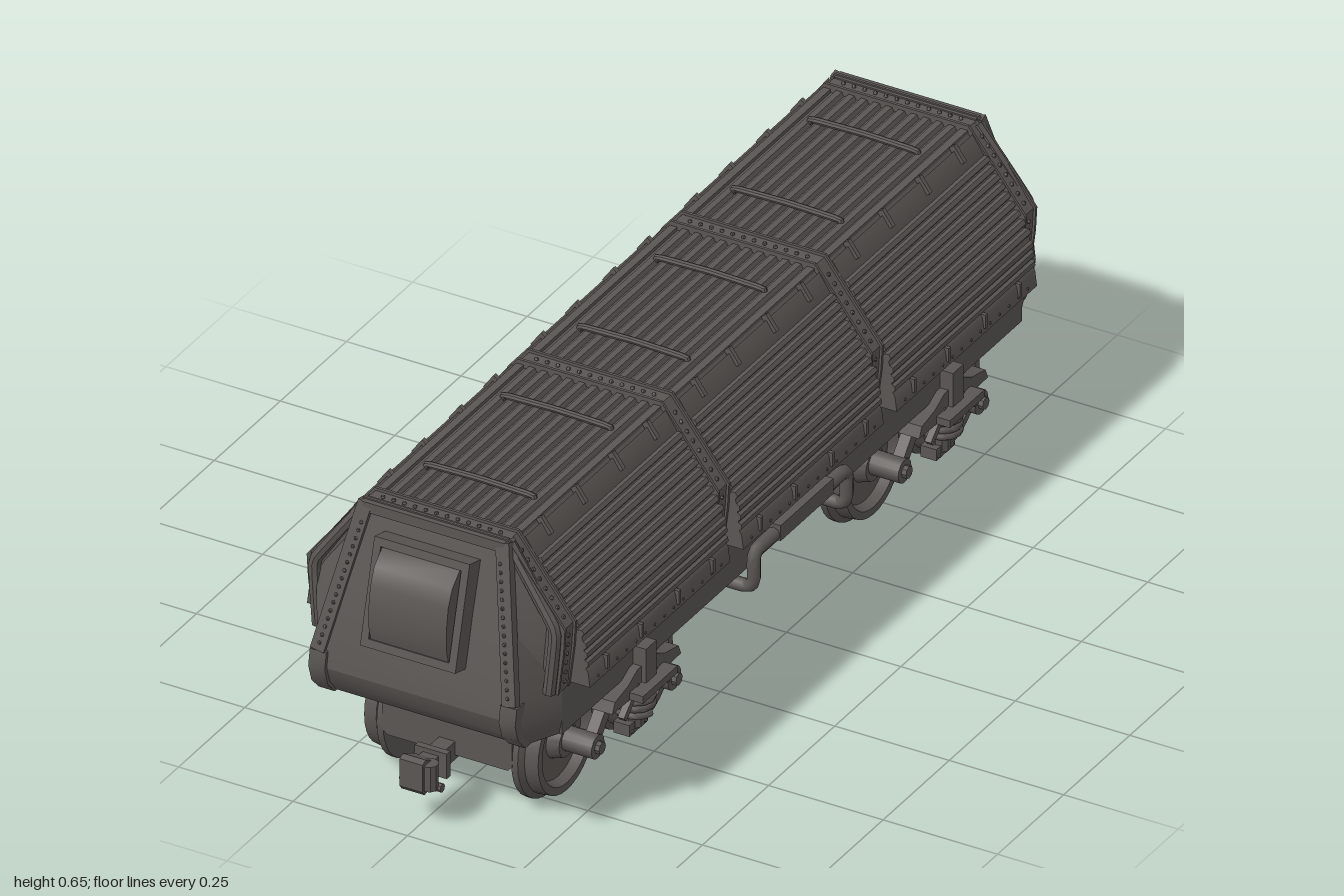
import * as THREE from 'three';
import { mergeGeometries, toCreasedNormals } from 'three/addons/utils/BufferGeometryUtils.js';

const V = (x, y, z) => new THREE.Vector3(x, y, z);
const steel = new THREE.MeshStandardMaterial({ color: 0x5a5653 });
steel.name = 'dark steel';

function add(parent, name, geo, angle = 0.6) {
  const mesh = new THREE.Mesh(toCreasedNormals(geo, angle), steel);
  mesh.name = name;
  parent.add(mesh);
  return mesh;
}
const box = (w, h, d, x, y, z) => new THREE.BoxGeometry(w, h, d).translate(x, y, z);
const rod = (r, len, x, y, z, sides = 14) => // cylinder lying along x
  new THREE.CylinderGeometry(r, r, len, sides).rotateZ(Math.PI / 2).translate(x, y, z);
const tube = (pts, r, n = 32) =>
  new THREE.TubeGeometry(new THREE.CatmullRomCurve3(pts, false, 'catmullrom', 0.1), n, r, 8);

// extrude an [x, y] outline along z, centred on z
function extrude(pts, depth, z = 0, hole) {
  const shape = new THREE.Shape(pts.map(p => new THREE.Vector2(...p)));
  if (hole) shape.holes.push(new THREE.Path(hole.map(p => new THREE.Vector2(...p))));
  return new THREE.ExtrudeGeometry(shape, { depth, bevelEnabled: false }).translate(0, 0, z - depth / 2);
}
// extrude a [z, y] outline along x
const extrudeX = (pts, width, x) => extrude(pts, width).rotateY(-Math.PI / 2).translate(x, 0, 0);
const mirrored = half => [...half, ...half.map(([x, y]) => [-x, y]).reverse()];
const rect = (x, y) => [[-x, -y], [x, -y], [x, y], [-x, y]];

// rectangular bar from a to b
function beam(a, b, w, t, up = V(0, 0, 1)) {
  const m = new THREE.Matrix4().lookAt(b, a, up).setPosition(a.clone().add(b).multiplyScalar(0.5));
  return new THREE.BoxGeometry(w, t, a.distanceTo(b)).applyMatrix4(m);
}
// row of raised slats between two profile points
function slats(a, b, n, h) {
  const dx = b[0] - a[0], dy = b[1] - a[1], l = Math.hypot(dx, dy), out = [];
  for (let i = 0; i < n; i++)
    for (const [t, k] of [[0.06, 0], [0.25, 1], [0.72, 1], [0.9, 0]]) {
      const s = (i + t) / n;
      out.push([a[0] + dx * s - dy / l * h * k, a[1] + dy * s + dx / l * h * k]);
    }
  return out;
}
const rivetList = [];
function rivets(a, b, n, r = 0.0045) {
  for (let i = 0; i < n; i++) {
    const p = a.clone().lerp(b, (i + 0.5) / n);
    rivetList.push(new THREE.SphereGeometry(r, 6, 4).translate(p.x, p.y, p.z));
  }
}

// tapered end shell, window bulge and riveted corner posts
function makeEnd() {
  const g = new THREE.Group();
  g.name = 'bodyEnd';
  // y, end z, end half width, side z, side half width
  const rows = [[0.64, 0.89, 0.15, 0.87, 0.158], [0.48, 0.935, 0.185, 0.87, 0.274], [0.34, 0.97, 0.215, 0.87, 0.262],
    [0.30, 0.976, 0.22, 0.87, 0.262], [0.265, 0.965, 0.222, 0.87, 0.262], [0.235, 0.94, 0.22, 0.86, 0.26]];
  const pos = [], idx = [];
  rows.forEach(([y, ze, xe, zs, xs], r) => {
    pos.push(-xs, y, zs, -xe, y, ze, xe, y, ze, xs, y, zs);
    if (r) for (let i = 0; i < 3; i++) {
      const a = r * 4 - 4 + i, b = r * 4 + i;
      idx.push(a, b, b + 1, a, b + 1, a + 1);
    }
  });
  const e = rows.length * 4 - 4;
  idx.push(0, 1, 2, 0, 2, 3, e, e + 2, e + 1, e, e + 3, e + 2);
  const shell = new THREE.BufferGeometry();
  shell.setAttribute('position', new THREE.Float32BufferAttribute(pos, 3));
  shell.setIndex(idx);
  add(g, 'endShell', shell, 0.45);

  add(g, 'endTopRail', box(0.31, 0.022, 0.024, 0, 0.632, 0.892));
  const bulge = [[0.9, 0.59], [0.95, 0.585], [0.978, 0.56], [0.993, 0.525], [1, 0.48], [1, 0.435], [0.992, 0.405], [0.94, 0.4]];
  add(g, 'windowBulge', extrudeX(bulge, 0.17, 0), 0.7);
  const frame = add(g, 'windowFrame', extrude(rect(0.104, 0.11), 0.05, 0, rect(0.088, 0.093)));
  frame.position.set(0, 0.49, 0.948);
  frame.rotation.x = -0.25;
  for (const s of [-1, 1]) {
    const top = V(s * 0.15, 0.64, 0.893), low = V(s * 0.21, 0.335, 0.972);
    add(g, 'cornerPost', beam(top, low, 0.03, 0.018));
    add(g, 'lowerPost', extrudeX([[0.9, 0.335], [0.978, 0.335], [0.984, 0.3], [0.972, 0.262], [0.945, 0.233], [0.88, 0.233]],
      0.036, s * 0.208), 0.7);
    // slanted braces joining the post to the end hoop
    add(g, 'sideBrace', tube([V(s * 0.155, 0.632, 0.882), V(s * 0.262, 0.48, 0.895), V(s * 0.252, 0.34, 0.9)], 0.013, 20));
    for (const f of [1, -1])
      rivets(V(s * 0.15, 0.61, 0.911 * f).setZ(f * 0.91), V(s * 0.207, 0.345, 0.98 * f), 16, 0.004);
  }
  return g;
}

// coupling with shank, jaw and side lugs
function makeCoupler() {
  const g = new THREE.Group();
  g.name = 'coupler';
  add(g, 'couplerShank', box(0.035, 0.04, 0.1, 0, 0.115, 0.885));
  add(g, 'couplerCollar', box(0.07, 0.055, 0.014, 0, 0.117, 0.905));
  add(g, 'couplerHead', extrudeX([[0.925, 0.09], [0.97, 0.08], [0.978, 0.09], [0.978, 0.15], [0.965, 0.155], [0.925, 0.135]], 0.05, -0.005));
  add(g, 'couplerKnuckle', new THREE.CylinderGeometry(0.018, 0.018, 0.055, 10).translate(0.022, 0.117, 0.955));
  add(g, 'couplerPin', rod(0.009, 0.09, 0, 0.09, 0.945, 8));
  return g;
}

// four-wheel bogie centred on z = 0
function makeBogie() {
  const g = new THREE.Group();
  g.name = 'bogie';
  const wheel = [[0, 0.14], [0.125, 0.14], [0.125, 0.154], [0.113, 0.162], [0.11, 0.19], [0.094, 0.19], [0.086, 0.17],
    [0.042, 0.168], [0.034, 0.192], [0, 0.192]].map(p => new THREE.Vector2(...p));
  for (const z of [-0.145, 0.145]) {
    add(g, 'axle', rod(0.018, 0.36, 0, 0.125, z));
    for (const s of [-1, 1]) {
      add(g, 'wheel', new THREE.LatheGeometry(wheel, 32).rotateZ(-s * Math.PI / 2).translate(0, 0.125, z));
      add(g, 'axleBox', rod(0.025, 0.07, s * 0.222, 0.13, z));
      add(g, 'axleCap', rod(0.013, 0.014, s * 0.26, 0.13, z, 8));
    }
  }
  for (const s of [-1, 1]) {
    // arched side frame with arms down to the axle boxes
    add(g, 'sideFrame', extrudeX(mirrored([[0.035, 0.25], [0.07, 0.232], [0.12, 0.222], [0.13, 0.2], [0.05, 0.198]]), 0.05, s * 0.255));
    for (const d of [-1, 1]) {
      add(g, 'axleArm', beam(V(s * 0.24, 0.21, d * 0.075), V(s * 0.24, 0.135, d * 0.14), 0.024, 0.024, V(1, 0, 0)));
      add(g, 'swingLink', beam(V(s * 0.275, 0.215, d * 0.03), V(s * 0.275, 0.165, d * 0.085), 0.014, 0.014, V(1, 0, 0)));
    }
    add(g, 'springSeat', box(0.065, 0.016, 0.13, s * 0.277, 0.207, 0));
    add(g, 'springHanger', box(0.03, 0.09, 0.04, s * 0.275, 0.245, 0));
    const coil = [];
    for (let i = 0; i <= 48; i++) {
      const a = i / 12 * Math.PI * 2;
      coil.push(V(s * 0.252 + Math.cos(a) * 0.036, 0.14 + i / 48 * 0.06, Math.sin(a) * 0.036));
    }
    add(g, 'spring', tube(coil, 0.008, 96), 1);
    add(g, 'springCore', new THREE.CylinderGeometry(0.02, 0.02, 0.09, 10).translate(s * 0.252, 0.15, 0));
    add(g, 'lowerPad', box(0.035, 0.025, 0.07, s * 0.245, 0.108, 0));
    rivets(V(s * 0.262, 0.102, 0.53), V(s * 0.262, 0.102, 0.63), 2, 0.005);
    rivets(V(s * 0.262, 0.102, -0.53), V(s * 0.262, 0.102, -0.63), 2, 0.005);
  }
  add(g, 'bolster', box(0.5, 0.03, 0.09, 0, 0.222, 0));
  return g;
}

export function createModel() {
  const car = new THREE.Group();
  car.name = 'armouredRailCar';

  // hull and underframe
  add(car, 'hull', extrude(mirrored([[0.158, 0.63], [0.262, 0.48], [0.262, 0.235]]), 1.74));
  add(car, 'underframe', extrude(mirrored([[0.142, 0.24], [0.142, 0.115], [0.132, 0.105]]), 1.7));

  // hoops around the hull
  for (const z of [-0.87, -0.29, 0.29, 0.87]) {
    add(car, 'hoop', extrude(mirrored([[0.155, 0.64], [0.277, 0.48], [0.274, 0.43], [0.265, 0.335]]), 0.044, z));
    for (const d of [-0.02, 0.02])
      add(car, 'hoopFlange', extrude(mirrored([[0.157, 0.646], [0.282, 0.482], [0.279, 0.43], [0.267, 0.335]]), 0.006, z + d));
    rivets(V(-0.14, 0.642, z), V(0.14, 0.642, z), 12);
    for (const s of [-1, 1]) {
      rivets(V(s * 0.168, 0.625, z), V(s * 0.272, 0.488, z), 8);
      rivets(V(s * 0.277, 0.47, z), V(s * 0.267, 0.345, z), 6);
    }
  }

  // three slatted panel bays
  const top = [[-0.14, 0.628], ...slats([-0.137, 0.628], [0.137, 0.628], 10, 0.011), [0.14, 0.628], [0.14, 0.6], [-0.14, 0.6]];
  const side = [[0.168, 0.632], [0.192, 0.596], ...slats([0.192, 0.594], [0.292, 0.444], 9, 0.009),
    ...slats([0.294, 0.438], [0.3, 0.378], 3, 0.006), [0.305, 0.372], [0.309, 0.34], [0.25, 0.34], [0.25, 0.47], [0.15, 0.61]];
  for (const bay of [-0.58, 0, 0.58]) {
    const g = new THREE.Group();
    g.name = 'panelBay';
    g.position.z = bay;
    car.add(g);
    add(g, 'roofSlats', extrude(top, 0.53));
    for (const z of [-0.145, 0.145])
      add(g, 'roofCrossbar', tube([V(-0.12, 0.63, z), V(-0.115, 0.643, z), V(0, 0.646, z), V(0.115, 0.643, z), V(0.12, 0.63, z)], 0.007, 20));
    for (const s of [-1, 1]) {
      add(g, 'sideSlats', extrude(side.map(([x, y]) => [s * x, y]), 0.53));
      add(g, 'roofRail', box(0.016, 0.012, 0.53, s * 0.15, 0.632, 0));
      for (const z of [-0.2, -0.07, 0.07, 0.2]) {
        add(g, 'panelClip', box(0.01, 0.03, 0.008, s * 0.307, 0.365, z));
        add(g, 'panelHinge', beam(V(s * 0.162, 0.64, z), V(s * 0.185, 0.608, z), 0.014, 0.01));
      }
      rivets(V(s * 0.308, 0.35, bay - 0.25), V(s * 0.308, 0.35, bay + 0.25), 14, 0.003);
    }
  }

  // bent pipes and their mounting plates on both sides
  for (const s of [-1, 1]) {
    const bend = [[0.14, 0.2, 0.175], [0.265, 0.2, 0.175], [0.28, 0.215, 0.175], [0.28, 0.265, 0.175], [0.28, 0.28, 0.16]];
    const path = [...bend, ...bend.map(([x, y, z]) => [x, y, -z]).reverse()].map(([x, y, z]) => V(s * x, y, z));
    add(car, 'sidePipe', tube(path, 0.014, 64), 1);
    add(car, 'pipeBracket', box(0.04, 0.034, 0.2, s * 0.275, 0.285, 0));
  }

  // matching ends, couplers and bogies
  for (const turn of [0, Math.PI]) {
    const end = new THREE.Group();
    end.name = turn ? 'rearEnd' : 'frontEnd';
    const bogie = makeBogie();
    bogie.position.z = 0.58;
    end.add(makeEnd(), makeCoupler(), bogie);
    end.rotation.y = turn;
    car.add(end);
  }

  add(car, 'rivets', mergeGeometries(rivetList), 1);
  rivetList.length = 0;
  return car;
}
